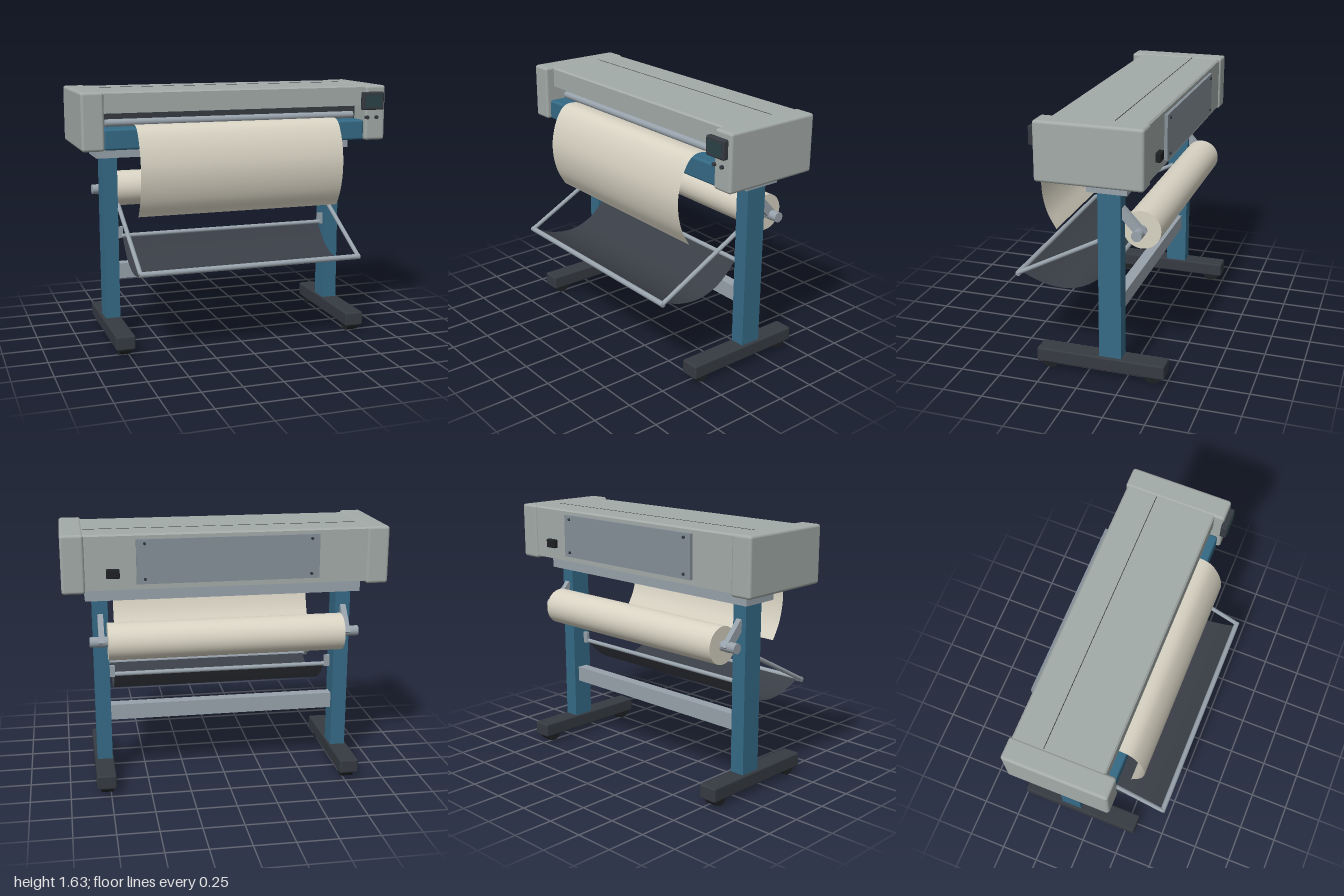
import * as THREE from 'three';
import { RoundedBoxGeometry } from 'three/addons/geometries/RoundedBoxGeometry.js';

const mat = (color, side = THREE.FrontSide) => new THREE.MeshStandardMaterial({ color, side });
const M = {
  shell: mat(0xa3aba8), blue: mat(0x356a86), dark: mat(0x363b42), black: mat(0x1e2124),
  metal: mat(0x98a2ab), plate: mat(0x858f98), screen: mat(0x2b4448),
  paper: mat(0xd8d3c3, THREE.DoubleSide), cloth: mat(0x3a3e46, THREE.DoubleSide),
};

export function createModel() {
  const root = new THREE.Group();

  const add = (name, geometry, material) => {
    const mesh = new THREE.Mesh(geometry, material);
    mesh.name = name;
    root.add(mesh);
    return mesh;
  };
  // Box given by its limits on each axis; r rounds the edges
  const box = (name, material, [x0, x1], [y0, y1], [z0, z1], r = 0) => {
    const s = [x1 - x0, y1 - y0, z1 - z0];
    const g = r ? new RoundedBoxGeometry(...s, 3, r) : new THREE.BoxGeometry(...s);
    g.translate((x0 + x1) / 2, (y0 + y1) / 2, (z0 + z1) / 2);
    return add(name, g, material);
  };
  // Round bar between two points
  const rod = (name, material, a, b, r, sides = 24) => {
    const p = new THREE.Vector3(...a), q = new THREE.Vector3(...b);
    const mesh = add(name, new THREE.CylinderGeometry(r, r, p.distanceTo(q), sides), material);
    mesh.position.copy(p).add(q).multiplyScalar(0.5);
    mesh.quaternion.setFromUnitVectors(new THREE.Vector3(0, 1, 0), q.sub(p).normalize());
    return mesh;
  };
  // Thin sheet: a smooth curve through [z, y] points swept along x
  const sheet = (name, material, halfWidth, points, steps = 40) => {
    const curve = new THREE.CatmullRomCurve3(points.map(([z, y]) => new THREE.Vector3(0, y, z)));
    const g = new THREE.PlaneGeometry(halfWidth * 2, 1, 1, steps);
    const pos = g.attributes.position;
    for (let i = 0; i < pos.count; i++) {
      const p = curve.getPointAt(Math.floor(i / 2) / steps);
      pos.setXYZ(i, pos.getX(i), p.y, p.z);
    }
    g.computeVertexNormals();
    return add(name, g, material);
  };

  // Main housing: a side profile (z, y) with an open front slot, run along x
  const profile = new THREE.Shape([
    [-0.4, 1.295], [0.05, 1.295], [0.05, 1.5], [0.17, 1.5], [0.17, 1.62],
    [0.16, 1.63], [-0.39, 1.63], [-0.4, 1.62],
  ].map(([z, y]) => new THREE.Vector2(z, y)));
  const housing = new THREE.ExtrudeGeometry(profile, { depth: 1.74, bevelEnabled: false });
  housing.translate(0, 0, -0.87).rotateY(-Math.PI / 2);
  add('housing', housing, M.shell);
  box('lidSeam', M.dark, [-0.86, 0.86], [1.625, 1.6315], [-0.208, -0.204]);
  box('slotLining', M.dark, [-0.86, 0.86], [1.4, 1.499], [0.04, 0.065]);
  box('platen', M.blue, [-0.86, 0.86], [1.28, 1.41], [-0.03, 0.21], 0.015);
  rod('feedRail', M.metal, [-0.83, 1.435, 0.09], [0.83, 1.435, 0.09], 0.023);

  // End covers
  box('rightEndCover', M.shell, [-1, -0.86], [1.278, 1.634], [-0.412, 0.232], 0.018);
  box('leftEndCover', M.shell, [0.86, 1], [1.278, 1.634], [-0.412, 0.232], 0.018);

  // Control panel
  box('controlPanel', M.dark, [0.825, 0.975], [1.478, 1.594], [0.225, 0.266], 0.01);
  box('screen', M.screen, [0.843, 0.957], [1.497, 1.575], [0.26, 0.269]);
  for (const x of [0.87, 0.935])
    rod('button', M.dark, [x, 1.428, 0.22], [x, 1.428, 0.247], 0.012);

  // Rear service panel, screws and power inlet
  box('rearPanel', M.plate, [-0.56, 0.555], [1.33, 1.6], [-0.42, -0.395]);
  for (const x of [-0.51, 0.505])
    for (const y of [1.36, 1.575])
      rod('screw', M.dark, [x, y, -0.41], [x, y, -0.428], 0.009, 16);
  box('powerInlet', M.black, [0.655, 0.735], [1.37, 1.425], [-0.43, -0.395], 0.006);

  // Stand
  box('topBeam', M.metal, [-0.865, 0.862], [1.2, 1.297], [-0.275, -0.03]);
  box('lowerBeam', M.metal, [-0.73, 0.73], [0.39, 0.49], [-0.188, -0.118]);
  for (const s of [-1, 1]) {
    const span = (a, b) => (s > 0 ? [a, b] : [-b, -a]);
    box('column', M.blue, span(0.724, 0.82), [0.12, 1.2], [-0.222, -0.083]);
    box('foot', M.dark, span(0.715, 0.837), [0.045, 0.137], [-0.495, 0.317], 0.012);
    for (const z of [0.24, -0.415])
      rod('caster', M.black, [s * 0.738, 0.06, z], [s * 0.812, 0.06, z], 0.06, 32);

    // Spindle bracket, sloping down and back from the column
    const bracket = add('spindleBracket', new THREE.BoxGeometry(0.035, 0.2, 0.058), M.metal);
    bracket.position.set(s * 0.772, 1.012, -0.275);
    bracket.rotation.x = Math.atan2(0.104, 0.113);

    // Basket side arm and rear bar tab
    rod('basketArm', M.metal, [s * 0.714, 0.88, -0.12], [s * 0.714, 0.565, 0.478], 0.014, 16);
    box('basketTab', M.metal, span(0.688, 0.726), [0.66, 0.735], [-0.135, -0.115]);
  }

  // Media roll on its spindle
  rod('mediaRoll', M.paper, [-0.735, 0.955, -0.324], [0.735, 0.955, -0.324], 0.116, 48);
  rod('spindle', M.metal, [-0.845, 0.955, -0.324], [0.845, 0.955, -0.324], 0.032);

  // Printed sheet hanging over the front
  sheet('hangingSheet', M.paper, 0.665, [
    [0.08, 1.412], [0.14, 1.425], [0.195, 1.424], [0.238, 1.4], [0.29, 1.315],
    [0.322, 1.19], [0.32, 1.08], [0.29, 0.965], [0.235, 0.865],
  ]);

  // Catch basket
  rod('basketFrontBar', M.metal, [-0.722, 0.565, 0.475], [0.722, 0.565, 0.475], 0.017);
  rod('basketRearBar', M.metal, [-0.7, 0.675, -0.12], [0.7, 0.675, -0.12], 0.014);
  sheet('basketCloth', M.cloth, 0.69, [
    [-0.12, 0.67], [-0.083, 0.63], [0, 0.555], [0.1, 0.508], [0.2, 0.493],
    [0.31, 0.507], [0.4, 0.537], [0.475, 0.572],
  ]);

  return root;
}
